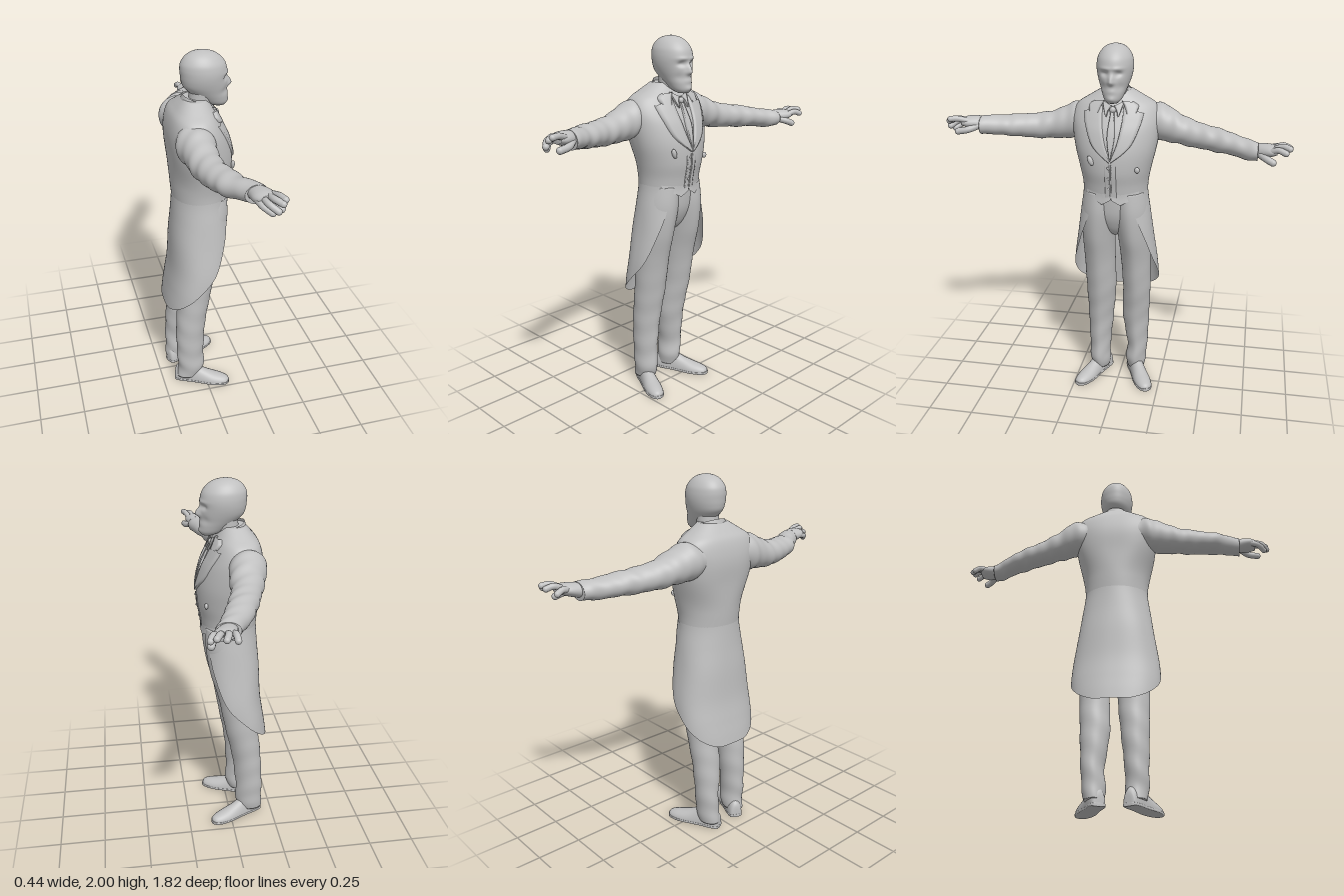
import * as THREE from 'three';

const cloth = new THREE.MeshStandardMaterial({ color: 0xc0c0c0, side: THREE.DoubleSide });
cloth.name = 'plain light grey';

// Smooth interpolation of a table of cross-section rows, t in 0..1
function sample(rows, t) {
  const f = t * (rows.length - 1), i = Math.min(Math.floor(f), rows.length - 2), u = f - i;
  const at = (k) => rows[Math.max(0, Math.min(rows.length - 1, k))];
  const [a, b, c, d] = [at(i - 1), at(i), at(i + 1), at(i + 2)];
  return b.map((_, k) => b[k] + 0.5 * u * (c[k] - a[k] + u * (2 * a[k] - 5 * b[k] + 4 * c[k] - d[k] + u * (3 * (b[k] - c[k]) + d[k] - a[k]))));
}

// Grid surface from fn(u, v) -> [x, y, z]
function grid(fn, nu, nv, wrap = false) {
  const pos = [], idx = [], cols = wrap ? nu : nu + 1;
  for (let j = 0; j <= nv; j++) for (let i = 0; i < cols; i++) pos.push(...fn(i / nu, j / nv));
  for (let j = 0; j < nv; j++) for (let i = 0; i < nu; i++) {
    const a = j * cols + i, b = j * cols + (i + 1) % cols, c = a + cols, d = b + cols;
    idx.push(a, c, b, b, c, d);
  }
  return { pos, idx };
}

function build({ pos, idx }) {
  const g = new THREE.BufferGeometry();
  g.setAttribute('position', new THREE.Float32BufferAttribute(pos, 3));
  g.setIndex(idx);
  g.computeVertexNormals();
  return g;
}

// Closed loft through rows; place(row, cos, sin) gives each point
function loft(rows, place, nu = 40, nv = 40) {
  const s = grid((u, v) => {
    const a = u * Math.PI * 2;
    return place(sample(rows, v), Math.cos(a), Math.sin(a));
  }, nu, nv, true);
  for (const j of [0, nv]) {
    const c = [0, 0, 0], m = s.pos.length / 3;
    for (let i = 0; i < nu; i++) for (let k = 0; k < 3; k++) c[k] += s.pos[(j * nu + i) * 3 + k] / nu;
    s.pos.push(...c);
    for (let i = 0; i < nu; i++) {
      const a = j * nu + i, b = j * nu + (i + 1) % nu;
      s.idx.push(...(j ? [m, b, a] : [m, a, b]));
    }
  }
  // turn the faces outward when the signed volume is negative
  const p = (i) => new THREE.Vector3().fromArray(s.pos, i * 3);
  let vol = 0;
  for (let i = 0; i < s.idx.length; i += 3) vol += p(s.idx[i]).dot(p(s.idx[i + 1]).cross(p(s.idx[i + 2])));
  if (vol < 0) s.idx.reverse();
  return build(s);
}

const upright = ([y, x, z, rx, rz], c, s) => [x + rx * c, y, z + rz * s];
const pw = (v, e) => Math.sign(v) * Math.abs(v) ** e;

// y, centre x, centre z, radius x, radius z
const TORSO = [
  [1.2, -0.005, 0.012, 0.148, 0.176], [1.27, -0.004, 0.012, 0.156, 0.18], [1.35, 0, 0.012, 0.166, 0.195],
  [1.45, -0.004, 0.012, 0.168, 0.218], [1.55, -0.02, 0.012, 0.16, 0.234], [1.62, -0.033, 0.012, 0.142, 0.236],
  [1.68, -0.04, 0.01, 0.118, 0.21], [1.72, -0.036, 0.01, 0.092, 0.15], [1.76, -0.03, 0.01, 0.062, 0.085],
];

// Front surface of the chest at (y, z)
function chestX(y, z) {
  let lo = 0, hi = 1;
  for (let i = 0; i < 24; i++) { const m = (lo + hi) / 2; if (sample(TORSO, m)[0] < y) lo = m; else hi = m; }
  const [, x, zc, rx, rz] = sample(TORSO, lo);
  return x + rx * Math.sqrt(Math.max(0, 1 - ((z - zc) / rz) ** 2));
}

// Raised panel on the chest between two edges of [z, y] points
function panel(edgeA, edgeB, lift, side = 1) {
  const across = [0, 0.03, 0.2, 0.4, 0.6, 0.8, 0.97, 1];
  return build(grid((u, v) => {
    const k = Math.round(u * 7), t = across[k];
    const a = sample(edgeA, v), b = sample(edgeB, v);
    const z = 0.012 + side * (a[0] + (b[0] - a[0]) * t), y = a[1] + (b[1] - a[1]) * t;
    return [chestX(y, z) + (k === 0 || k === 7 ? -0.004 : lift), y, z];
  }, 7, 24));
}

export function createModel() {
  const root = new THREE.Group();
  root.name = 'standing man in tailcoat';
  const add = (name, geo, parent = root) => {
    const m = new THREE.Mesh(geo, cloth);
    m.name = name;
    parent.add(m);
    return m;
  };
  const blob = (name, p, r, parent) => {
    const m = add(name, new THREE.SphereGeometry(1, 20, 14), parent);
    m.position.set(...p);
    m.scale.set(...r);
    return m;
  };

  // Head with nose, eye sockets, brow, cheeks and chin: [y, |z|, spread y, spread z, amount]
  const face = [[1.835, 0, 0.022, 0.014, 0.02], [1.818, 0, 0.012, 0.018, 0.012], [1.862, 0.036, 0.014, 0.02, -0.014],
    [1.888, 0.03, 0.01, 0.035, 0.006], [1.795, 0.045, 0.022, 0.018, -0.006], [1.775, 0, 0.012, 0.025, 0.003],
    [1.735, 0, 0.014, 0.022, 0.006]];
  const HEAD = [[1.712, 0.1, 0.01, 0.032, 0.028], [1.73, 0.083, 0.01, 0.06, 0.046], [1.76, 0.062, 0.01, 0.083, 0.06],
    [1.79, 0.042, 0.01, 0.1, 0.072], [1.82, 0.028, 0.01, 0.114, 0.083], [1.85, 0.022, 0.01, 0.118, 0.091],
    [1.88, 0.02, 0.01, 0.12, 0.095], [1.91, 0.018, 0.01, 0.12, 0.094], [1.94, 0.015, 0.01, 0.112, 0.087],
    [1.97, 0.012, 0.01, 0.088, 0.068], [1.99, 0.01, 0.01, 0.054, 0.042], [2, 0.01, 0.01, 0.008, 0.008]];
  add('head', loft(HEAD, (r, c, s) => {
    const p = upright(r, c, s);
    if (c > 0) for (const [y, z, sy, sz, amp] of face)
      p[0] += amp * Math.exp(-(((p[1] - y) / sy) ** 2) - (((Math.abs(p[2] - 0.01) - z) / sz) ** 2));
    return p;
  }, 96, 72));
  add('neck', loft([[1.66, -0.015, 0.01, 0.068, 0.07], [1.74, 0, 0.01, 0.06, 0.062], [1.82, 0.01, 0.01, 0.064, 0.064]], upright));

  // Coat body, squarer across the upper back
  add('coatBody', loft(TORSO, ([y, x, z, rx, rz], c, s) => {
    const e = c < 0 ? 1 - 0.28 * THREE.MathUtils.smoothstep(y, 1.3, 1.5) : 1;
    return [x + rx * pw(c, e), y, z + rz * pw(s, e)];
  }, 64, 48));
  add('coatCollar', build(grid((u, v) => {
    const a = u * Math.PI * 2, c = Math.cos(a), s = Math.sin(a);
    return [-0.018 + (0.09 - 0.018 * v) * c, 1.695 + 0.06 * v - 0.025 * c, 0.01 + (0.1 - 0.022 * v) * s];
  }, 40, 6, true)));
  for (const s of [1, -1]) {
    add('lapel', panel([[0.055, 1.69], [0.05, 1.6], [0.03, 1.5], [0, 1.42]], [[0.16, 1.655], [0.145, 1.59], [0.1, 1.49], [0.006, 1.41]], 0.012, s));
    add('upperCollar', panel([[0.045, 1.715], [0.06, 1.69], [0.075, 1.655]], [[0.1, 1.71], [0.13, 1.69], [0.125, 1.66]], 0.016, s));
    add('shirtCollar', panel([[0.005, 1.69], [0.02, 1.67], [0.03, 1.635]], [[0.055, 1.715], [0.052, 1.69], [0.035, 1.64]], 0.012, s));
    add('frontEdge', panel([[0.003, 1.4], [0.003, 1.3], [0.003, 1.215]], [[0.03, 1.39], [0.03, 1.3], [0.03, 1.21]], 0.004, s));
    // Pointed hem hanging below the waist
    add('hemPoint', build(grid((u, v) => {
      const z = 0.002 + 0.14 * u, low = u < 0.35 ? 1.195 - 0.08 * u : 1.167 + 0.07 * (u - 0.35);
      const y = 1.24 + (low - 1.24) * v;
      return [chestX(Math.max(y, 1.205), 0.012 + s * z) - 0.002 + 0.009 * v, y, 0.012 + s * z];
    }, 24, 6)));
  }
  add('tie', panel([[-0.014, 1.68], [-0.011, 1.65], [-0.02, 1.54], [-0.004, 1.43]], [[0.014, 1.68], [0.011, 1.65], [0.02, 1.54], [0.004, 1.43]], 0.01));
  blob('tieKnot', [chestX(1.67, 0.012) + 0.004, 1.67, 0.012], [0.014, 0.018, 0.017]);
  for (const y of [1.38, 1.32, 1.26]) blob('button', [chestX(y, 0.02) + 0.004, y, 0.022], [0.005, 0.007, 0.007]);
  blob('chestOrnament', [chestX(1.41, 0.12) + 0.006, 1.41, 0.12], [0.012, 0.028, 0.014]).rotation.x = 0.4;
  blob('chestOrnament', [chestX(1.365, -0.12) + 0.006, 1.365, -0.125], [0.01, 0.016, 0.014]);

  // Tail: [y, centre x, radius x, radius z, front edge x, corner power]
  const TAIL = [[1.29, -0.003, 0.15, 0.174, 0.1, 1], [1.2, -0.005, 0.151, 0.179, 0.115, 1], [1.1, -0.006, 0.156, 0.193, 0.116, 0.94],
    [0.97, -0.01, 0.162, 0.21, 0.095, 0.85], [0.8, -0.02, 0.16, 0.235, 0.035, 0.85], [0.68, -0.042, 0.155, 0.242, -0.07, 0.85],
    [0.6, -0.052, 0.158, 0.24, -0.15, 0.85], [0.54, -0.058, 0.16, 0.235, -0.21, 0.85]];
  add('coatTail', build(grid((u, v) => {
    const [y, x, rx, rz, edge, e] = sample(TAIL, v);
    const k = Math.max(-0.995, Math.min(0.95, (edge - x) / rx));
    const a0 = Math.acos(pw(k, 1 / e)), a = a0 + u * 2 * (Math.PI - a0);
    return [x + rx * pw(Math.cos(a), e), y, 0.012 + rz * pw(Math.sin(a), e)];
  }, 60, 56)));

  // Trousers
  add('trouserSeat', loft([[0.945, -0.015, 0.012, 0.03, 0.015], [0.97, -0.01, 0.012, 0.065, 0.05], [1.02, -0.004, 0.012, 0.093, 0.1],
    [1.1, 0.001, 0.012, 0.115, 0.15], [1.23, 0, 0.012, 0.126, 0.165]], upright));
  const fold = (r, c, s) => {
    const k = 1 + 0.035 * Math.sin(r[0] * 46 + 2 * s + c) * Math.max(0, 1 - r[0] / 0.85);
    const crease = 0.006 * Math.max(0, c) ** 10;
    return [r[1] + r[3] * c * k + crease, r[0], r[2] + r[4] * s * k];
  };
  add('rightTrouserLeg', loft([[1.22, 0, 0.09, 0.122, 0.09], [1.1, 0, 0.1, 0.124, 0.1], [0.95, -0.01, 0.11, 0.112, 0.092],
    [0.8, -0.035, 0.11, 0.1, 0.088], [0.6, -0.06, 0.108, 0.09, 0.086], [0.4, -0.085, 0.115, 0.082, 0.075],
    [0.2, -0.09, 0.122, 0.076, 0.062], [0.1, -0.085, 0.122, 0.075, 0.06], [0.04, -0.1, 0.12, 0.066, 0.052]], fold, 48, 60));
  add('leftTrouserLeg', loft([[1.22, 0, -0.07, 0.122, 0.09], [1.1, 0, -0.078, 0.124, 0.098], [0.95, -0.01, -0.088, 0.112, 0.088],
    [0.8, -0.04, -0.096, 0.1, 0.084], [0.6, -0.068, -0.1, 0.09, 0.08], [0.4, -0.1, -0.092, 0.08, 0.078],
    [0.2, -0.115, -0.1, 0.074, 0.06], [0.1, -0.115, -0.092, 0.075, 0.06], [0.04, -0.125, -0.09, 0.066, 0.052]], fold, 48, 60));

  // Shoes: length, top height, half width
  const SHOE = [[-0.068, 0.05, 0.014], [-0.06, 0.085, 0.034], [-0.02, 0.115, 0.042], [0.04, 0.115, 0.042], [0.1, 0.085, 0.046],
    [0.16, 0.064, 0.05], [0.21, 0.052, 0.044], [0.245, 0.04, 0.03], [0.258, 0.026, 0.01]];
  for (const [name, x, z, turn] of [['rightShoe', -0.11, 0.114, -0.42], ['leftShoe', -0.12, -0.085, 0.42]]) {
    const shoe = new THREE.Group();
    shoe.name = name;
    shoe.position.set(x, 0, z);
    shoe.rotation.y = turn;
    add('upper', loft(SHOE, ([l, h, w], c, s) => [l, s > 0 ? 0.015 + (h - 0.015) * s : 0.015 + 0.008 * s, w * c], 32, 30), shoe);
    add('sole', loft(SHOE, ([l, , w], c, s) => [l * 1.01, 0.009 + 0.009 * pw(s, 0.4), (w + 0.002) * pw(c, 0.4)], 32, 30), shoe);
    root.add(shoe);
  }

  // Sleeves: z, centre x, centre y, radius x, radius y
  const sleeve = (r, c, s) => {
    const k = 1 + 0.05 * Math.sin(r[0] * 62 + 2.2 * c + s) * Math.sin(r[0] * 17 + 1);
    return [r[1] + r[3] * c * k, r[2] + r[4] * s * k, r[0]];
  };
  add('rightSleeve', loft([[0.12, -0.07, 1.59, 0.095, 0.09], [0.22, -0.073, 1.58, 0.096, 0.102], [0.3, -0.065, 1.56, 0.086, 0.088],
    [0.4, -0.057, 1.54, 0.078, 0.072], [0.5, -0.03, 1.54, 0.077, 0.065], [0.6, 0.002, 1.545, 0.077, 0.056],
    [0.68, 0.05, 1.555, 0.066, 0.052], [0.73, 0.075, 1.558, 0.06, 0.047]], sleeve, 40, 80));
  add('leftSleeve', loft([[-0.12, -0.07, 1.59, 0.095, 0.09], [-0.22, -0.07, 1.585, 0.098, 0.1], [-0.3, -0.055, 1.56, 0.088, 0.086],
    [-0.4, -0.033, 1.533, 0.078, 0.07], [-0.5, 0, 1.52, 0.076, 0.064], [-0.6, 0.037, 1.508, 0.073, 0.057],
    [-0.68, 0.08, 1.495, 0.066, 0.052], [-0.74, 0.108, 1.492, 0.06, 0.047]], sleeve, 40, 80));

  // Hands: wrist-to-knuckle palm loft and curved fingers
  const hand = (name, palm, fingers) => {
    const g = new THREE.Group();
    g.name = name;
    add('palm', loft(palm, ([z, x, y, rx, ry], c, s) => [x + rx * c, y + ry * s, z], 28, 16), g);
    fingers.forEach((pts, i) => {
      const r = i === 4 ? 0.018 : 0.016, label = i === 4 ? 'thumb' : 'finger';
      const curve = new THREE.CatmullRomCurve3(pts.map((p) => new THREE.Vector3(...p)));
      add(label, new THREE.TubeGeometry(curve, 14, r, 12), g);
      blob(label + 'Tip', pts[2], [r, r, r], g);
    });
    root.add(g);
  };
  hand('rightHand', [[0.7, 0.065, 1.562, 0.038, 0.034], [0.74, 0.078, 1.57, 0.05, 0.037], [0.79, 0.087, 1.575, 0.057, 0.033], [0.825, 0.094, 1.578, 0.046, 0.022]], [
    [[0.05, 1.57, 0.79], [0.062, 1.56, 0.84], [0.095, 1.54, 0.875]],
    [[0.073, 1.58, 0.8], [0.083, 1.577, 0.86], [0.115, 1.555, 0.893]],
    [[0.1, 1.587, 0.8], [0.11, 1.595, 0.855], [0.135, 1.587, 0.89]],
    [[0.122, 1.587, 0.79], [0.137, 1.6, 0.84], [0.148, 1.6, 0.878]],
    [[0.11, 1.56, 0.74], [0.142, 1.545, 0.785], [0.148, 1.535, 0.84]]]);
  hand('leftHand', [[-0.71, 0.095, 1.495, 0.038, 0.034], [-0.75, 0.112, 1.5, 0.05, 0.037], [-0.8, 0.13, 1.508, 0.06, 0.031], [-0.835, 0.14, 1.512, 0.048, 0.02]], [
    [[0.095, 1.51, -0.79], [0.085, 1.52, -0.835], [0.082, 1.505, -0.866]],
    [[0.12, 1.515, -0.81], [0.122, 1.535, -0.86], [0.135, 1.525, -0.895]],
    [[0.147, 1.515, -0.81], [0.16, 1.537, -0.86], [0.178, 1.532, -0.893]],
    [[0.17, 1.51, -0.8], [0.188, 1.525, -0.84], [0.203, 1.515, -0.875]],
    [[0.14, 1.49, -0.745], [0.18, 1.475, -0.785], [0.193, 1.462, -0.815]]]);
  return root;
}
